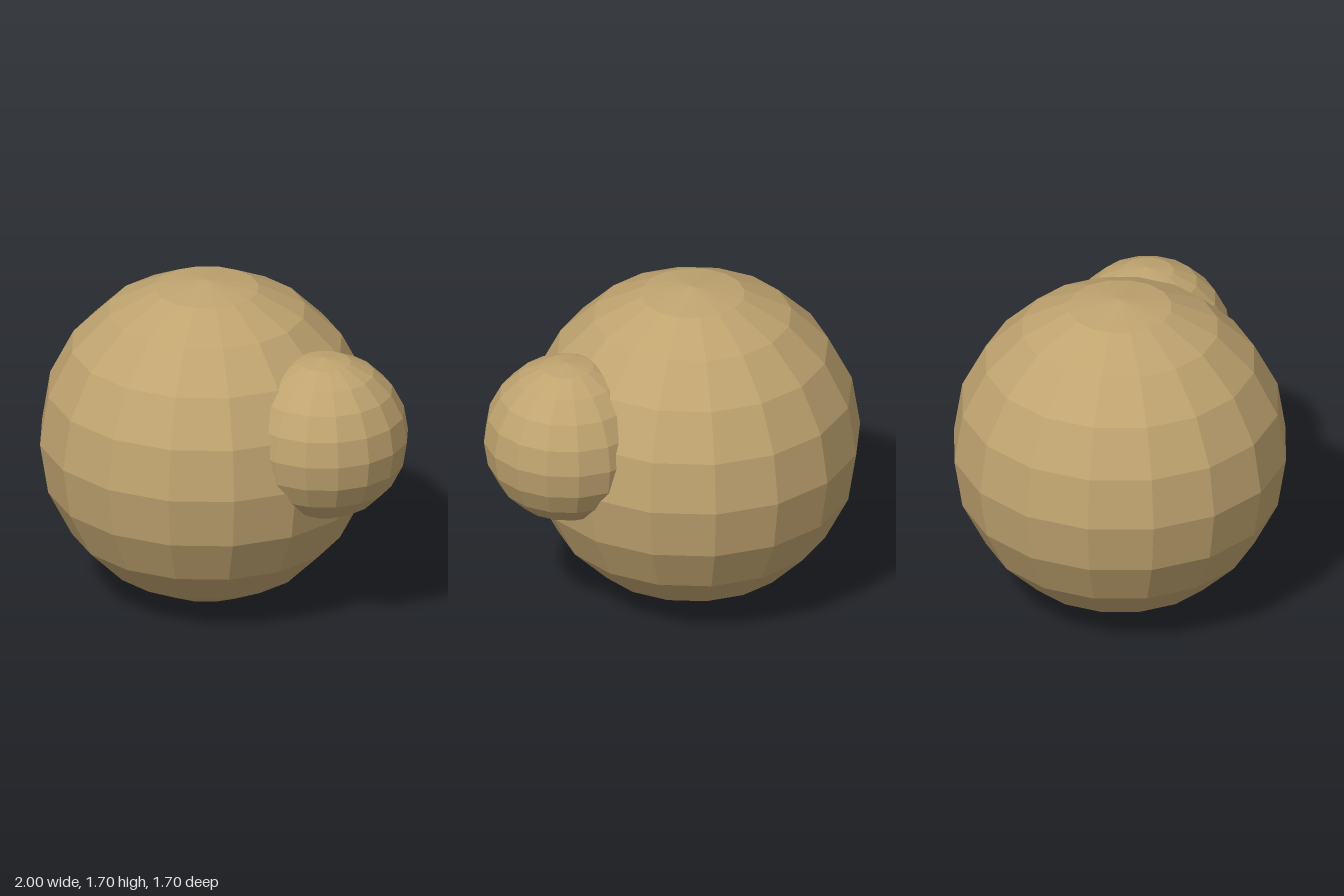
import * as THREE from 'three';

export function createModel() {
  const group = new THREE.Group();
  const tan = new THREE.MeshStandardMaterial({ color: 0xc0a470, flatShading: true });
  tan.name = 'tan';

  // Faceted ball with 16 sides and 10 bands
  const addBall = (name, radius, x, y) => {
    const ball = new THREE.Mesh(new THREE.SphereGeometry(radius, 16, 10), tan);
    ball.name = name;
    ball.position.set(x, y, 0);
    group.add(ball);
  };

  addBall('largeBall', 0.848, -0.152, 0.848);
  addBall('smallBall', 0.424, 0.576, 1.034);
  return group;
}
